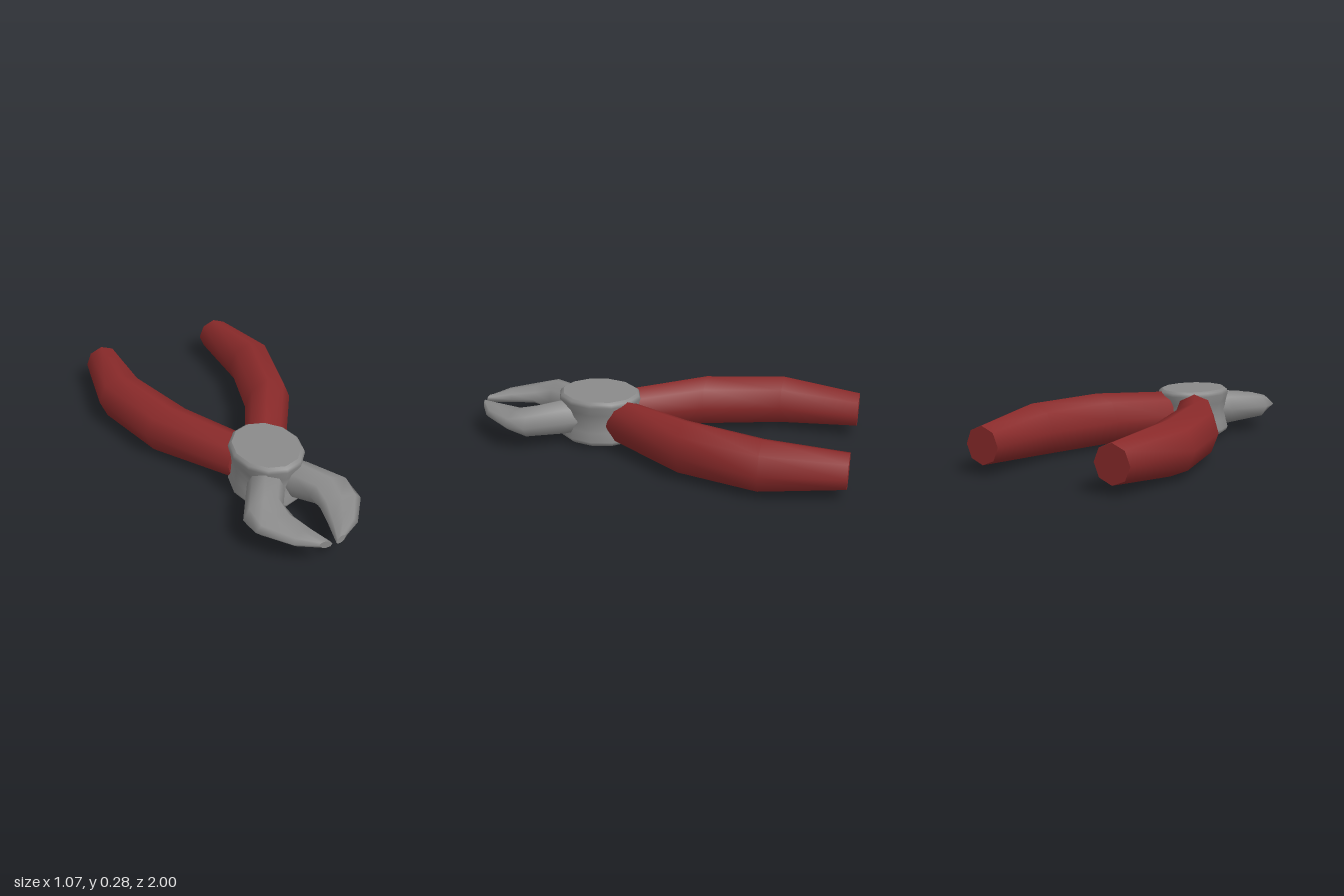
import * as THREE from 'three';

const SIDES = 8;
const MID_Y = 0.14;

// Loft through octagonal rings [innerX, innerZ, outerX, outerZ, halfHeight], listed by rising z.
// side = -1 mirrors the part and reverses the ring direction so faces stay outward.
function loft(rings, side, offsetX = 0) {
  const pos = [], index = [];
  const ringPoint = ([ix, iz, ox, oz, h], j) => {
    const a = side * (j / SIDES) * Math.PI * 2;
    const c = Math.cos(a);
    return [
      side * ((ix + ox) / 2 + ((ox - ix) / 2) * c) + offsetX,
      MID_Y + h * Math.sin(a),
      (iz + oz) / 2 + ((oz - iz) / 2) * c,
    ];
  };
  rings.forEach((r) => {
    for (let j = 0; j < SIDES; j++) pos.push(...ringPoint(r, j));
  });
  for (let i = 0; i < rings.length - 1; i++) {
    for (let j = 0; j < SIDES; j++) {
      const k = (j + 1) % SIDES;
      const a = i * SIDES + j, b = i * SIDES + k;
      index.push(a, b, b + SIDES, a, b + SIDES, a + SIDES);
    }
  }
  // Flat end caps with their own vertices
  [[rings[0], true], [rings[rings.length - 1], false]].forEach(([r, back]) => {
    const base = pos.length / 3;
    for (let j = 0; j < SIDES; j++) pos.push(...ringPoint(r, j));
    for (let j = 1; j < SIDES - 1; j++) {
      if (back) index.push(base, base + j + 1, base + j);
      else index.push(base, base + j, base + j + 1);
    }
  });
  const g = new THREE.BufferGeometry();
  g.setAttribute('position', new THREE.Float32BufferAttribute(pos, 3));
  g.setIndex(index);
  g.computeVertexNormals();
  return g;
}

export function createModel() {
  const grip = new THREE.MeshStandardMaterial({ color: 0x8a2a2a });
  grip.name = 'red grip';
  const steel = new THREE.MeshStandardMaterial({ color: 0x8a8a8a });
  steel.name = 'grey steel';

  const group = new THREE.Group();
  group.name = 'pliers';
  const add = (geometry, material, name) => {
    const mesh = new THREE.Mesh(geometry, material);
    mesh.name = name;
    group.add(mesh);
  };

  const handleRings = [
    [0.27, -1.0, 0.46, -1.0, 0.094],
    [0.27, -0.585, 0.537, -0.585, 0.135],
    [0.16, -0.18, 0.432, -0.17, 0.14],
    [0.0, 0.125, 0.165, 0.265, 0.119],
  ];
  const jawRings = [
    [-0.04, 0.46, 0.11, 0.36, 0.08],
    [0.015, 0.565, 0.18, 0.475, 0.095],
    [0.072, 0.655, 0.298, 0.67, 0.078],
    [0.072, 0.755, 0.288, 0.775, 0.042],
    [0.045, 0.87, 0.175, 0.925, 0.032],
    [0.01, 1.0, 0.07, 0.985, 0.02],
  ];

  // Grips and cutting jaws in mirrored pairs
  const jointX = 0.0075;
  [[1, 'left'], [-1, 'right']].forEach(([side, label]) => {
    add(loft(handleRings, side), grip, `${label}Handle`);
    add(loft(jawRings, side, jointX), steel, `${label}Jaw`);
  });

  // Pivot joint: oval drum with a slight waist, and flat top and bottom
  const half = [[0.182, 0.05], [0.184, 0.098], [0.178, 0.115], [0.165, 0.125]];
  half[0][0] = 0.172;
  const profile = [
    ...half.slice().reverse().map(([r, y]) => new THREE.Vector2(r, -y)),
    new THREE.Vector2(0.165, 0),
    ...half.map(([r, y]) => new THREE.Vector2(r, y)),
  ];
  const joint = new THREE.Group();
  joint.name = 'pivotJoint';
  joint.position.set(jointX, 0.145, 0.342);
  joint.scale.set(1, 1, 1.21);
  const drum = new THREE.Mesh(new THREE.LatheGeometry(profile, 12), steel);
  drum.name = 'jointDrum';
  joint.add(drum);
  [1, -1].forEach((s) => {
    const face = new THREE.CircleGeometry(0.165, 12);
    face.rotateX((-s * Math.PI) / 2);
    const cap = new THREE.Mesh(face, steel);
    cap.name = s > 0 ? 'jointTop' : 'jointBottom';
    cap.position.y = s * 0.125;
    joint.add(cap);
  });
  group.add(joint);

  return group;
}
